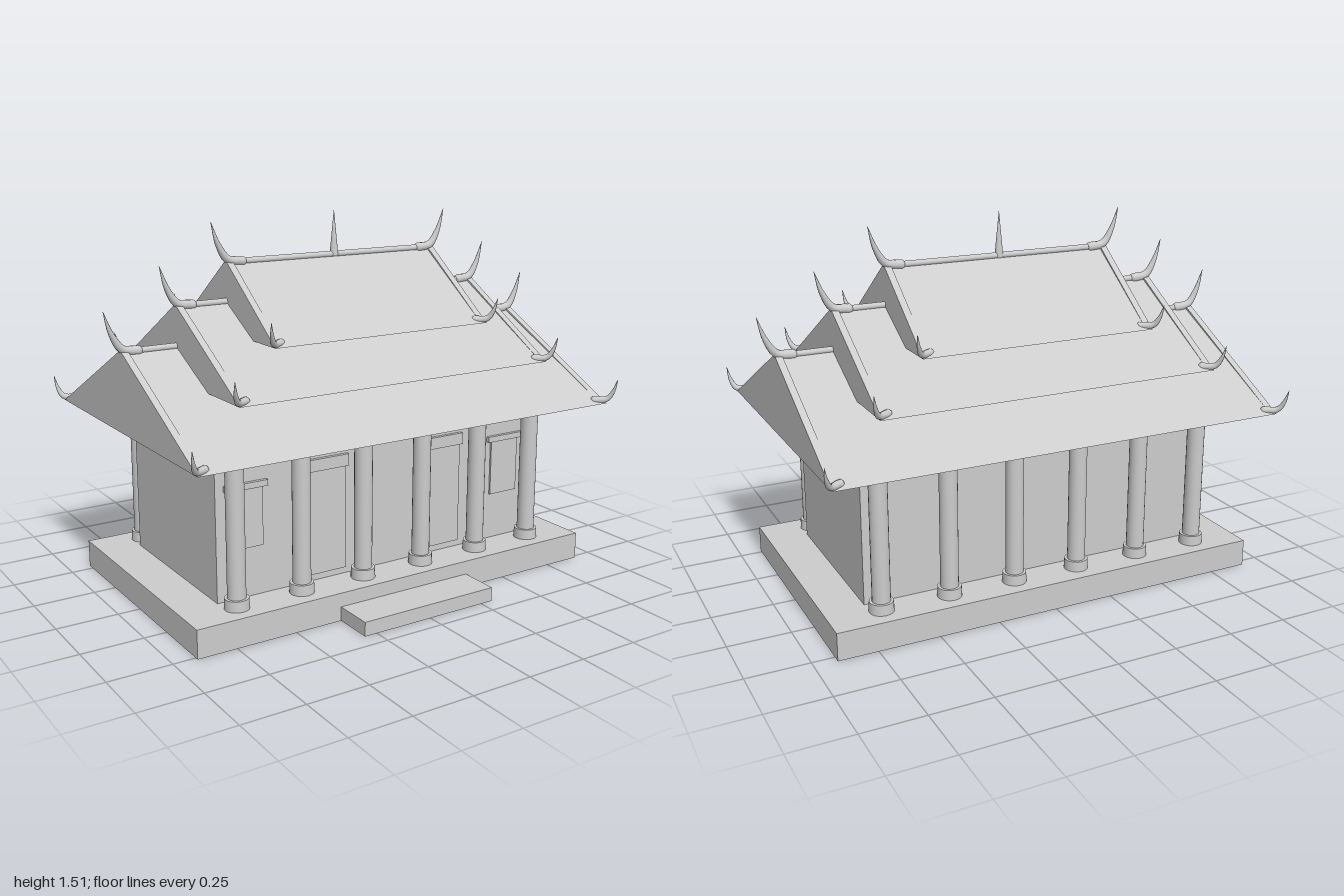
import * as THREE from 'three';

const stone = new THREE.MeshStandardMaterial({ color: 0xcccccc });
stone.name = 'pale stone';
const CZ = -0.013; // depth of the ridge line

function add(parent, name, geometry, x = 0, y = 0, z = 0) {
  const mesh = new THREE.Mesh(geometry, stone);
  mesh.name = name;
  mesh.position.set(x, y, z);
  parent.add(mesh);
  return mesh;
}

// box given by its lower and upper limits
function block(parent, name, x0, x1, y0, y1, z0, z1) {
  return add(parent, name, new THREE.BoxGeometry(x1 - x0, y1 - y0, z1 - z0),
    (x0 + x1) / 2, (y0 + y1) / 2, (z0 + z1) / 2);
}

// triangular prism lying along x, standing on y = 0
function gablePrism(halfDepth, rise, length) {
  const shape = new THREE.Shape();
  shape.moveTo(-halfDepth, 0);
  shape.lineTo(halfDepth, 0);
  shape.lineTo(0, rise);
  shape.closePath();
  const g = new THREE.ExtrudeGeometry(shape, { depth: length, bevelEnabled: false });
  return g.translate(0, 0, -length / 2).rotateY(Math.PI / 2);
}

// curved tube narrowing to a point, with a rounded foot
function horn(parent, name, points, radius) {
  const group = new THREE.Group();
  group.name = name;
  const curve = new THREE.CatmullRomCurve3(points.map(p => new THREE.Vector3(...p)));
  const steps = 14, sides = 10;
  const g = new THREE.TubeGeometry(curve, steps, radius, sides, false);
  const pos = g.attributes.position, v = new THREE.Vector3();
  for (let i = 0; i <= steps; i++) {
    const c = curve.getPointAt(i / steps);
    const s = 1 - 0.97 * Math.pow(i / steps, 1.4);
    for (let j = 0; j <= sides; j++) {
      const k = i * (sides + 1) + j;
      v.fromBufferAttribute(pos, k).sub(c).multiplyScalar(s).add(c);
      pos.setXYZ(k, v.x, v.y, v.z);
    }
  }
  add(group, 'hornBody', g);
  add(group, 'hornFoot', new THREE.SphereGeometry(radius, 10, 8), ...points[0]);
  parent.add(group);
}

// one gabled roof with ridge bar, raised gable rims and horns
function roofTier(name, hw, hd, eave, ridge) {
  const tier = new THREE.Group();
  tier.name = name;
  const rise = ridge - eave;
  add(tier, 'roofBody', gablePrism(hd, rise, hw * 2 - 0.008), 0, eave, CZ);
  const bar = new THREE.CylinderGeometry(0.013, 0.013, hw * 2 - 0.02, 12).rotateZ(Math.PI / 2);
  add(tier, 'ridgeBar', bar, 0, ridge + 0.002, CZ);
  for (const s of [-1, 1]) {
    add(tier, 'gableRim', gablePrism(hd, rise + 0.01, 0.028), s * (hw - 0.014), eave, CZ);
    horn(tier, 'ridgeHorn', [
      [s * (hw - 0.07), ridge + 0.002, CZ], [s * (hw - 0.01), ridge + 0.012, CZ],
      [s * (hw + 0.03), ridge + 0.07, CZ], [s * (hw + 0.06), ridge + 0.16, CZ],
    ], 0.02);
    for (const f of [-1, 1]) {
      horn(tier, 'eaveHorn', [
        [s * (hw - 0.04), eave + 0.012, CZ + f * (hd - 0.032)],
        [s * (hw + 0.005), eave + 0.018, CZ + f * (hd - 0.003)],
        [s * (hw + 0.022), eave + 0.05, CZ + f * (hd + 0.014)],
        [s * (hw + 0.032), eave + 0.103, CZ + f * (hd + 0.028)],
      ], 0.016);
    }
  }
  return tier;
}

// round column with a base drum and a flared capital
function column(x, z) {
  const group = new THREE.Group();
  group.name = 'column';
  group.position.set(x, 0, z);
  add(group, 'shaft', new THREE.CylinderGeometry(0.036, 0.036, 0.58, 20), 0, 0.4, 0);
  add(group, 'columnBase', new THREE.CylinderGeometry(0.047, 0.049, 0.042, 20), 0, 0.134, 0);
  add(group, 'capital', new THREE.CylinderGeometry(0.053, 0.041, 0.055, 20), 0, 0.687, 0);
  return group;
}

export function createModel() {
  const model = new THREE.Group();
  model.name = 'hall';

  // platform, step and walls
  block(model, 'platform', -0.91, 0.91, 0, 0.113, -0.533, 0.515);
  block(model, 'step', -0.303, 0.303, 0, 0.057, 0.5, 0.68);
  block(model, 'walls', -0.745, 0.745, 0.11, 0.72, -0.368, 0.35);

  // doors and windows on the front wall
  for (const s of [-1, 1]) {
    const panel = (name, c, hw, y0, y1, z1) =>
      block(model, name, s * c - hw, s * c + hw, y0, y1, 0.345, z1);
    panel('door', 0.28, 0.1, 0.14, 0.56, 0.358);
    panel('doorLintel', 0.28, 0.11, 0.56, 0.608, 0.365);
    panel('window', 0.62, 0.07, 0.31, 0.542, 0.358);
    panel('windowLintel', 0.62, 0.09, 0.542, 0.566, 0.365);
  }

  // colonnades at front and back
  for (const z of [0.42, -0.437]) {
    for (let i = 0; i < 6; i++) model.add(column(-0.7 + i * 0.28, z));
  }

  // three stacked roofs
  model.add(roofTier('lowerRoof', 0.94, 0.635, 0.713, 1.025));
  model.add(roofTier('middleRoof', 0.712, 0.51, 0.894, 1.178));
  model.add(roofTier('upperRoof', 0.494, 0.383, 1.058, 1.33));

  // central spire
  add(model, 'spire', new THREE.ConeGeometry(0.018, 0.19, 12), 0, 1.42, CZ);
  return model;
}
